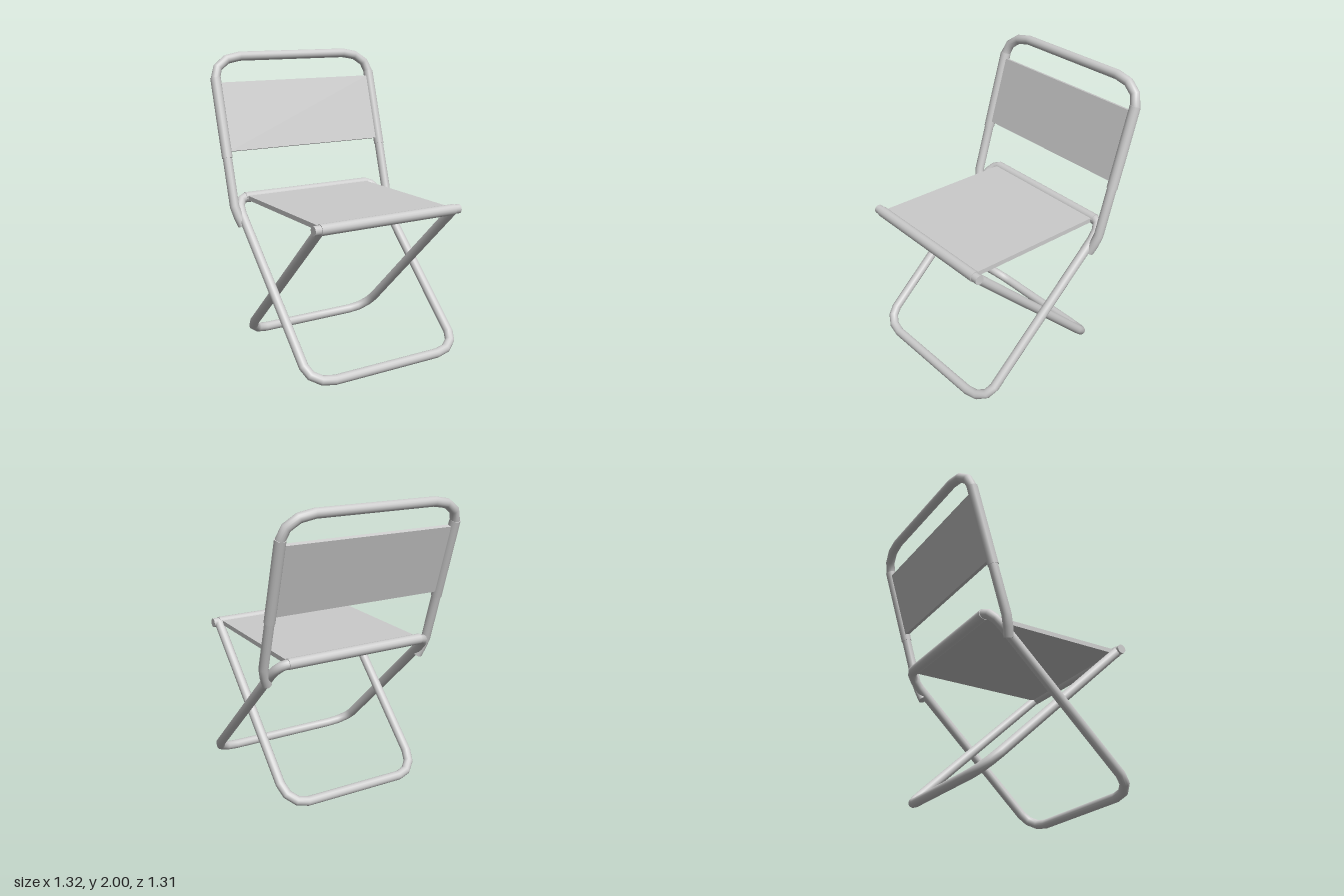
import * as THREE from 'three';

const material = new THREE.MeshStandardMaterial({ color: 0xcccccc, side: THREE.DoubleSide });
const R = 0.032; // tube radius
const SLEEVE = 0.036; // fabric sleeve radius

// Path through given points, with the tube mitred at each bend
class BentPath extends THREE.Curve {
  constructor(points, closed) {
    super();
    this.points = points;
    this.closed = closed;
    this.count = closed ? points.length : points.length - 1;
  }
  at(i) {
    const n = this.points.length;
    return this.closed ? this.points[(i + n) % n] : this.points[THREE.MathUtils.clamp(i, 0, n - 1)];
  }
  getPointAt(u, target = new THREE.Vector3()) {
    return target.copy(this.at(Math.round(u * this.count)));
  }
  getTangentAt(u, target = new THREE.Vector3()) {
    const i = Math.round(u * this.count);
    const before = this.at(i).clone().sub(this.at(i - 1)).normalize();
    const after = this.at(i + 1).clone().sub(this.at(i)).normalize();
    return target.copy(before.add(after).normalize());
  }
}

function add(parent, name, geometry) {
  const mesh = new THREE.Mesh(geometry, material);
  mesh.name = name;
  parent.add(mesh);
  return mesh;
}

function bentTube(parent, name, points, closed) {
  const path = new BentPath(points, closed);
  return add(parent, name, new THREE.TubeGeometry(path, path.count, R, 16, closed));
}

// Straight capped rod between two points
function rod(parent, name, a, b, radius) {
  const dir = b.clone().sub(a);
  const mesh = add(parent, name, new THREE.CylinderGeometry(radius, radius, dir.length(), 16));
  mesh.position.copy(a).add(b).multiplyScalar(0.5);
  mesh.quaternion.setFromUnitVectors(new THREE.Vector3(0, 1, 0), dir.normalize());
  return mesh;
}

// Rounded corner as [x, height] pairs, from angle a0 to a1 in degrees
function corner(cx, cy, rx, ry, a0, a1, steps = 3) {
  return Array.from({ length: steps + 1 }, (_, i) => {
    const a = THREE.MathUtils.degToRad(a0 + ((a1 - a0) * i) / steps);
    return [cx + rx * Math.cos(a), cy + ry * Math.sin(a)];
  });
}

// Add the mirrored half to a profile that runs along the +x side
const mirrored = (half) => [...half, ...half.map(([x, v]) => [-x, v]).reverse()];

// Lay [x, distance] pairs on the sloping plane from a low to a high [y, z] point
function onSlope(pairs, [y0, z0], [y1, z1]) {
  const length = Math.hypot(y1 - y0, z1 - z0);
  return pairs.map(([x, v]) => {
    const t = v / length;
    return new THREE.Vector3(x, y0 + (y1 - y0) * t, z0 + (z1 - z0) * t);
  });
}

export function createModel() {
  const chair = new THREE.Group();
  chair.name = 'foldingChair';

  const seatY = 1.013, frontZ = 0.62, backZ = -0.415;
  const slope = Math.hypot(seatY - R, frontZ - backZ);

  // Outer leg frame: a closed loop from the front foot to the back of the seat
  const outer = mirrored([
    ...corner(0.5, slope - 0.13, 0.07, 0.13, 90, 0),
    ...corner(0.4, 0.13, 0.17, 0.13, 0, -90),
  ]);
  bentTube(chair, 'outerLegFrame', onSlope(outer, [R, frontZ], [seatY, backZ]), true);

  // Inner leg frame: a U from the back foot to the front of the seat
  const inner = mirrored([[0.505, slope], ...corner(0.36, 0.16, 0.145, 0.16, 0, -90)]);
  bentTube(chair, 'innerLegFrame', onSlope(inner, [R, backZ], [seatY, frontZ]), false);

  // Front seat bar and the fabric sleeves around both seat bars
  const across = (name, half, z, radius) =>
    rod(chair, name, new THREE.Vector3(-half, seatY, z), new THREE.Vector3(half, seatY, z), radius);
  across('frontSeatBar', 0.55, frontZ, 0.031);
  across('frontSeatSleeve', 0.505, frontZ, SLEEVE);
  across('backSeatSleeve', 0.5, backZ, SLEEVE);

  // Seat fabric
  const seat = add(chair, 'seat', new THREE.BoxGeometry(0.98, 0.031, 1.0));
  seat.position.set(0, seatY, 0.1);

  // Leaning backrest frame, with its lower ends bent in to the legs
  const leanZ = (y) => -0.288 - 0.298 * (y - 0.85);
  const lean = (x, y) => new THREE.Vector3(x, y, leanZ(y));
  const back = mirrored([
    [0.582, 0.85], [0.605, 0.91], [0.622, 0.98],
    ...corner(0.42, 1.828, 0.202, 0.14, 0, 90),
  ]).map(([x, y]) => lean(x, y));
  bentTube(chair, 'backrestFrame', back, false);

  // End caps and fabric sleeves on the backrest posts
  for (const side of [1, -1]) {
    const end = lean(side * 0.582, 0.85);
    const cap = add(chair, 'backrestEndCap', new THREE.CircleGeometry(R, 16));
    cap.position.copy(end);
    cap.quaternion.setFromUnitVectors(
      new THREE.Vector3(0, 0, 1),
      end.clone().sub(lean(side * 0.605, 0.91)).normalize()
    );
    rod(chair, 'backrestSleeve', lean(side * 0.622, 1.3), lean(side * 0.622, 1.83), SLEEVE);
  }

  // Backrest fabric
  const height = lean(0, 1.34).distanceTo(lean(0, 1.795));
  const panel = add(chair, 'backrest', new THREE.BoxGeometry(1.2, height, 0.031));
  panel.position.copy(lean(0, 1.5675));
  panel.rotation.x = -Math.atan(0.298);

  return chair;
}
